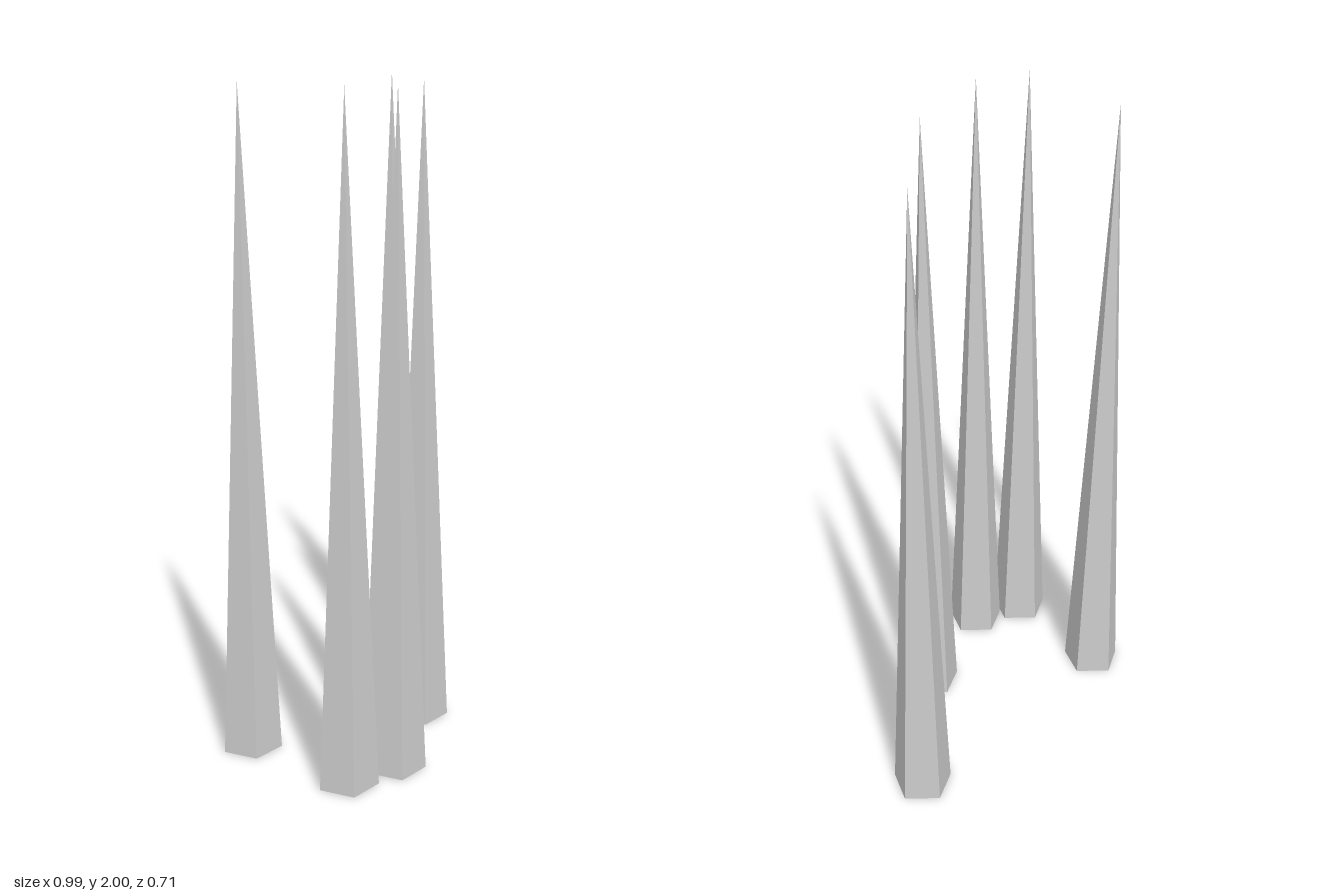
import * as THREE from 'three';

// Ground positions [x, z] of the spikes
const SPOTS = [
  [-0.406, -0.135],
  [0.405, -0.266],
  [0.101, 0.112],
  [-0.384, 0.24],
  [-0.217, 0.281],
];
const HEIGHT = 2;
const RADIUS = 0.0925;

export function createModel() {
  const group = new THREE.Group();
  group.name = 'spikes';
  const material = new THREE.MeshStandardMaterial({ color: 0xcccccc, flatShading: true });

  // Five-sided spike standing on y = 0, one corner pointing to the back
  const geometry = new THREE.ConeGeometry(RADIUS, HEIGHT, 5);
  geometry.rotateY(Math.PI);
  geometry.translate(0, HEIGHT / 2, 0);

  SPOTS.forEach(([x, z], i) => {
    const spike = new THREE.Mesh(geometry, material);
    spike.name = `spike${i + 1}`;
    spike.position.set(x, 0, z);
    group.add(spike);
  });
  return group;
}
